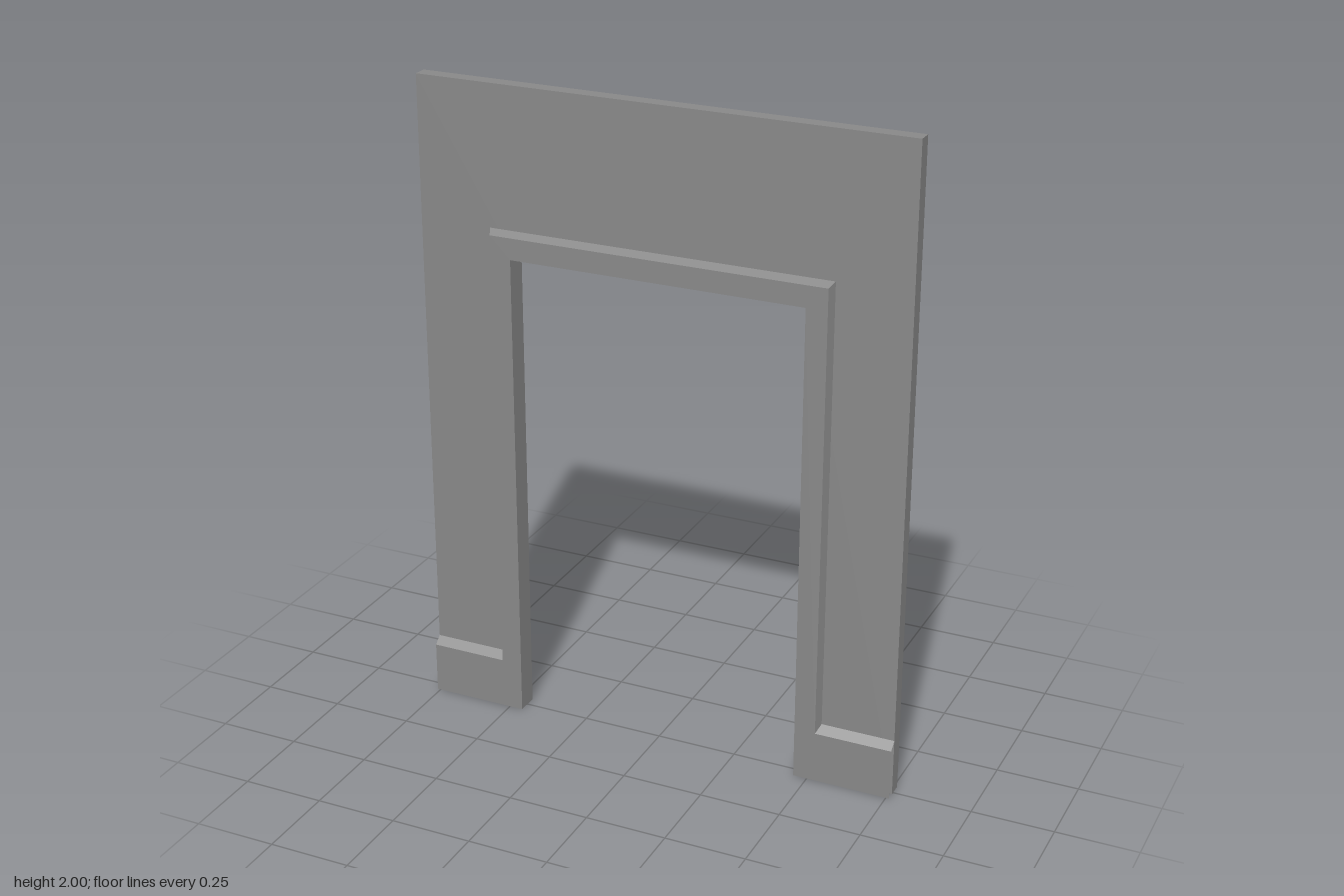
import * as THREE from 'three';

const HALF = 0.76, OPEN_X = 0.457, OPEN_Y = 1.49;
const BACK = -0.035, MID = 0.01, FRONT = 0.035;
const near = (a, b) => Math.abs(a - b) < 1e-4;

// Closed outline made of right-hand points mirrored to the left
function mirroredShape(points) {
  const left = points.map(([x, y]) => [-x, y]).reverse();
  return new THREE.Shape([...points, ...left].map(([x, y]) => new THREE.Vector2(x, y)));
}

function extrude(shape, z0, z1) {
  const geo = new THREE.ExtrudeGeometry(shape, { depth: z1 - z0, bevelEnabled: false });
  return geo.translate(0, 0, z0);
}

// Leaves a shell open where all corners of a triangle pass one of the tests
function openShell(geo, tests) {
  const p = geo.attributes.position;
  const kept = [];
  for (let i = 0; i < p.count; i += 3) {
    const corners = [i, i + 1, i + 2].map((k) => new THREE.Vector3().fromBufferAttribute(p, k));
    if (!tests.some((test) => corners.every(test))) kept.push(...corners);
  }
  const shell = new THREE.BufferGeometry().setFromPoints(kept);
  shell.computeVertexNormals();
  return shell;
}

const atFloor = (v) => near(v.y, 0);
const atSide = (v) => near(Math.abs(v.x), HALF);
const atWall = (v) => near(v.z, MID);

export function createModel() {
  const group = new THREE.Group();
  group.name = 'doorwaySurround';
  const material = new THREE.MeshStandardMaterial({
    color: 0x888888, flatShading: true, side: THREE.DoubleSide,
  });
  const add = (name, geo) => {
    const mesh = new THREE.Mesh(geo, material);
    mesh.name = name;
    group.add(mesh);
  };

  // Wall panel with door opening, open underneath
  const inner = [[OPEN_X, OPEN_Y], [OPEN_X, 0]];
  const wall = extrude(mirroredShape([...inner, [HALF, 0], [HALF, 2]]), BACK, MID);
  add('wallPanel', openShell(wall, [atFloor]));

  // Raised door trim running into the skirting on both sides
  const trimX = 0.533, trimY = 1.57, baseY = 0.182;
  const trim = extrude(mirroredShape([
    ...inner, [HALF, 0], [HALF, baseY], [trimX, baseY], [trimX, trimY],
  ]), MID, FRONT);

  // Chamfer: pull the front outer edges inward
  const pos = trim.attributes.position;
  for (let i = 0; i < pos.count; i++) {
    if (!near(pos.getZ(i), FRONT)) continue;
    const x = pos.getX(i), y = pos.getY(i);
    if (near(Math.abs(x), trimX)) pos.setX(i, Math.sign(x) * (trimX - 0.011));
    if (near(y, trimY)) pos.setY(i, trimY - 0.014);
    if (near(y, baseY)) pos.setY(i, baseY - 0.022);
  }

  // The trim is a thin shell: open at the floor, the wall and the skirting ends
  add('doorTrimAndSkirting', openShell(trim, [atFloor, atSide, atWall]));

  return group;
}
